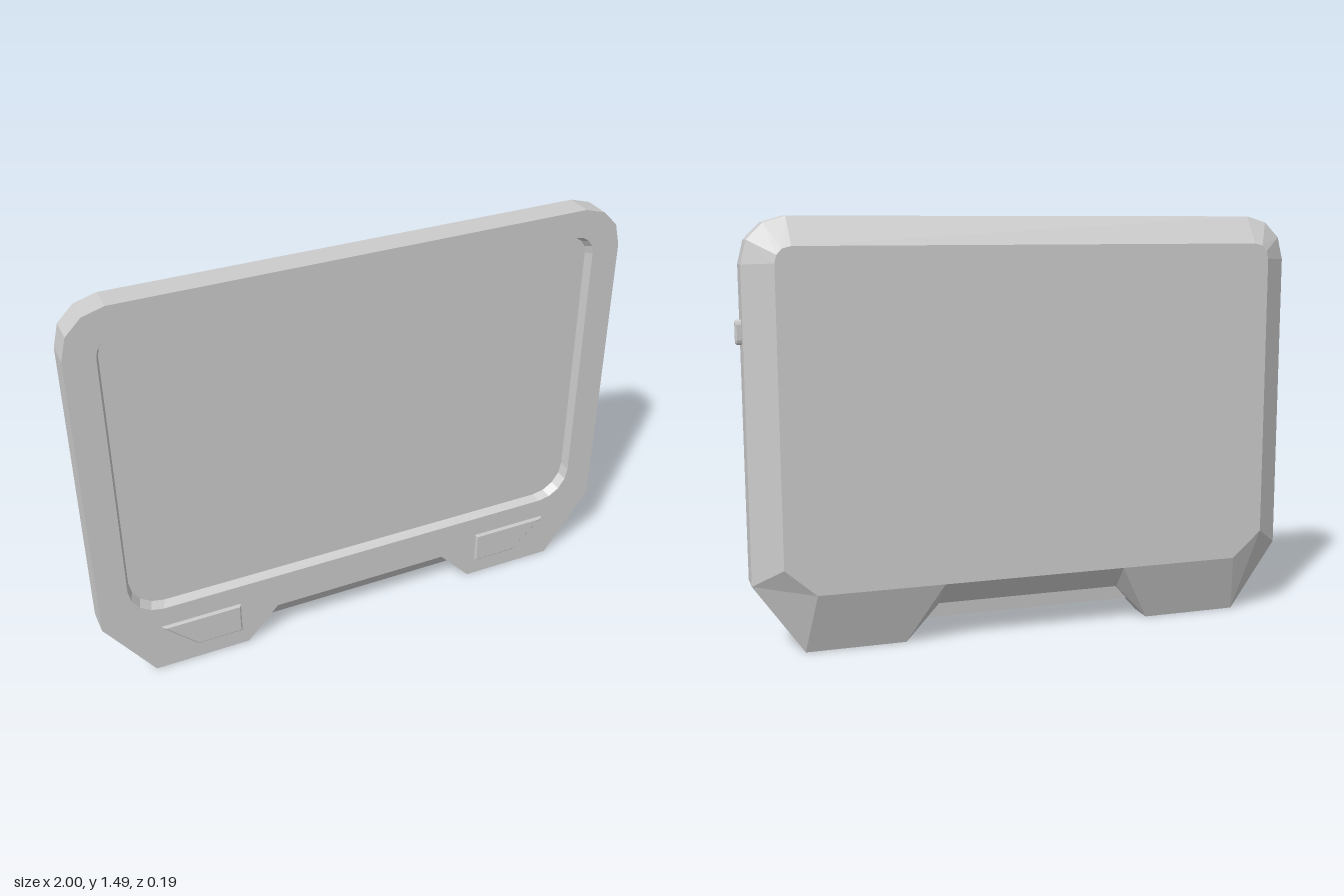
import * as THREE from 'three';

const material = new THREE.MeshStandardMaterial({ color: 0xcccccc, flatShading: true });
const v3 = (x, y, z) => new THREE.Vector3(x, y, z);

// Skin a series of equal-length rings (counter-clockwise seen from the first end).
function loft(rings, capFirst, capLast) {
  const tris = [];
  for (let k = 0; k < rings.length - 1; k++) {
    const a = rings[k], b = rings[k + 1], n = a.length;
    for (let i = 0; i < n; i++) {
      const j = (i + 1) % n;
      tris.push(a[i], b[i], a[j], a[j], b[i], b[j]);
    }
  }
  const cap = (ring, flip) => {
    const box = new THREE.Box3().setFromPoints(ring);
    const centre = box.getCenter(v3(0, 0, 0));
    ring.forEach((p, i) => {
      const q = ring[(i + 1) % ring.length];
      tris.push(centre, flip ? q : p, flip ? p : q);
    });
  };
  if (capFirst) cap(rings[0], false);
  if (capLast) cap(rings[rings.length - 1], true);
  const geometry = new THREE.BufferGeometry().setFromPoints(tris);
  geometry.computeVertexNormals();
  return geometry;
}

// Mirror a right-hand half outline into a full closed one.
const mirror = (half) => [...half, ...half.map(([x, y]) => [-x, y]).reverse()];
const atZ = (points, z) => points.map(([x, y]) => v3(x, y, z));
const toVec2 = (points) => points.map(([x, y]) => new THREE.Vector2(x, y));

// Half outline of the display opening: wide lower corners, tighter upper ones.
function opening(halfWidth, bottom, top) {
  const half = [];
  const corner = (y, r, start) => {
    for (let i = 0; i <= 4; i++) {
      const t = start + (i / 4) * Math.PI / 2;
      half.push([halfWidth - r + r * Math.cos(t), y + r * Math.sin(t)]);
    }
  };
  corner(bottom + 0.12, 0.12, -Math.PI / 2);
  corner(top - 0.07, 0.07, 0);
  return mirror(half);
}

export function createModel() {
  const model = new THREE.Group();
  model.name = 'tablet';
  const add = (name, geometry, z = 0) => {
    const mesh = new THREE.Mesh(geometry, material);
    mesh.name = name;
    mesh.position.z = z;
    model.add(mesh);
  };

  const FRONT = 0.082, MID = -0.015, BACK = -0.092;

  // Casing: straight rim, then a chamfer to a smaller back panel
  const outer = mirror([
    [0.34, 0.13], [0.46, 0], [0.815, 0], [0.99, 0.25],
    [0.99, 1.33], [0.97, 1.41], [0.915, 1.465], [0.84, 1.487],
  ]);
  const rear = mirror([
    [0.335, 0.22], [0.335, 0.22], [0.78, 0.22], [0.89, 0.317],
    [0.89, 1.335], [0.883, 1.362], [0.865, 1.382], [0.835, 1.39],
  ]);
  add('casing', loft([atZ(outer, FRONT), atZ(outer, MID), atZ(rear, BACK)], false, true));

  // Front bezel with the display opening
  const rim = opening(0.885, 0.27, 1.387);
  const inner = opening(0.873, 0.284, 1.378);
  const bezel = new THREE.Shape(toVec2(outer));
  bezel.holes.push(new THREE.Path(toVec2(rim)));
  add('bezel', new THREE.ShapeGeometry(bezel), FRONT);

  // Recessed display and its sloped surround
  const SCREEN = FRONT - 0.03;
  add('screenSurround', loft([atZ(rim, FRONT).reverse(), atZ(inner, SCREEN).reverse()]));
  add('screen', new THREE.ShapeGeometry(new THREE.Shape(toVec2(inner))), SCREEN);

  // Lip hanging in the bottom notch, its ends following the notch slope
  const lipProfile = [[0.042, 0.065], [0.025, 0.068], [0.018, 0.13], [FRONT, 0.13]];
  const lipEnd = (side) => lipProfile.map(([z, y]) => v3(side * (0.34 + (0.13 - y) * 0.92), y, z));
  add('notchLip', loft([lipEnd(1), lipEnd(-1)], true, true));

  // Raised front pads, mirrored
  const padBase = [[0.485, 0.07], [0.655, 0.07], [0.78, 0.19], [0.485, 0.19]];
  const padTop = [[0.491, 0.075], [0.653, 0.075], [0.767, 0.185], [0.491, 0.185]];
  for (const side of [1, -1]) {
    const place = (points, z) => {
      const ring = atZ(points.map(([x, y]) => [side * x, y]), z);
      return side > 0 ? ring : ring.reverse();
    };
    add(side > 0 ? 'leftPad' : 'rightPad',
      loft([place(padTop, 0.094), place(padBase, 0.09), place(padBase, FRONT)], true, false));
  }

  // Side button: a bevelled upright capsule
  const capsule = (x, r) => Array.from({ length: 12 }, (_, i) => {
    const t = ((i % 12) - (i < 6 ? 0 : 1)) * Math.PI / 5 + (i < 6 ? 0 : Math.PI / 5);
    const half = i < 6 ? i * Math.PI / 5 : Math.PI + (i - 6) * Math.PI / 5;
    return v3(x, 1.107 + (i < 6 ? 0.026 : -0.026) + r * Math.sin(half), 0.036 - r * Math.cos(half));
  });
  add('sideButton', loft([capsule(1.01, 0.011), capsule(1.005, 0.017), capsule(0.985, 0.017)], true, false));

  model.position.x = -0.01;
  const root = new THREE.Group();
  root.name = 'model';
  root.add(model);
  return root;
}
